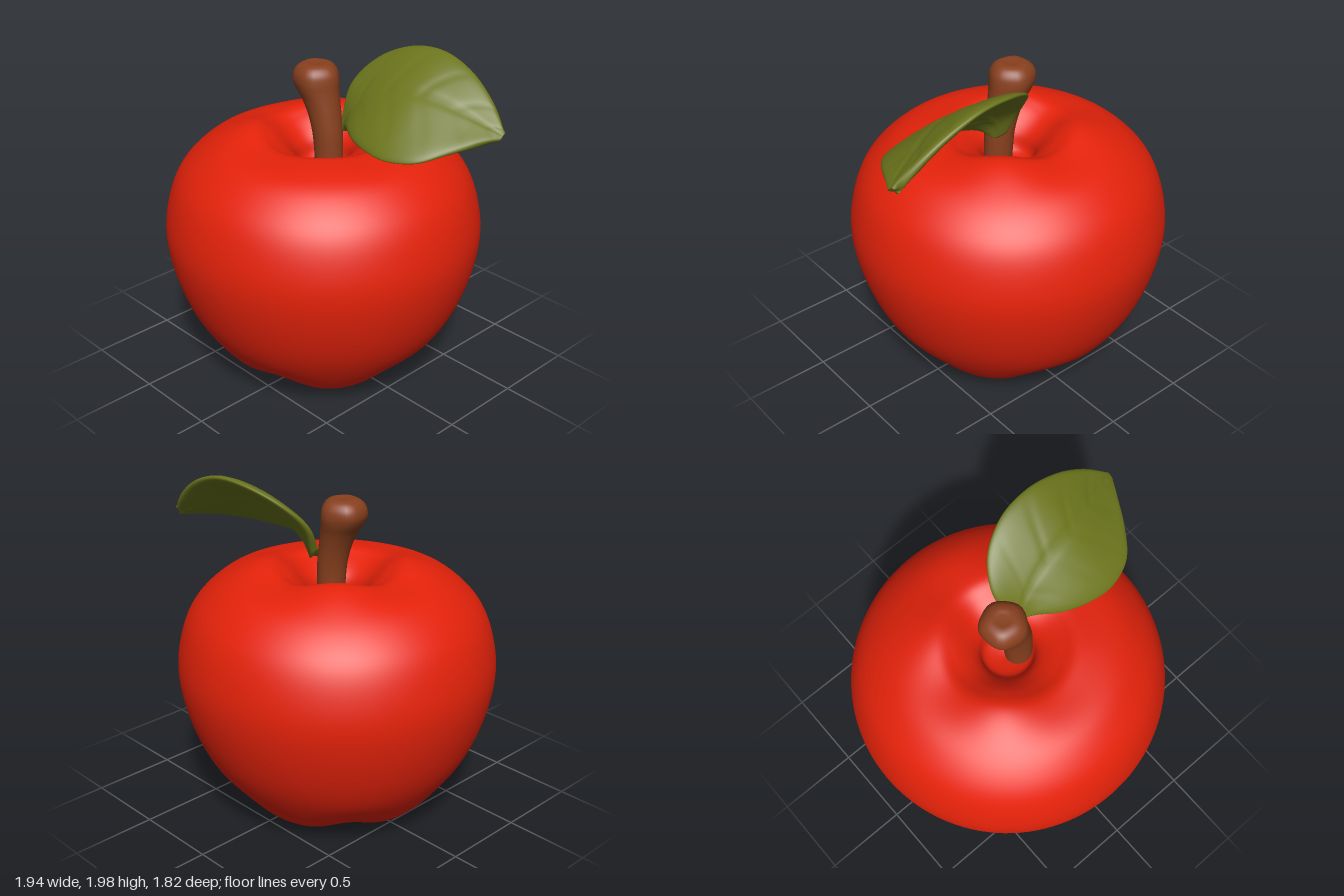
import * as THREE from 'three';

const V = (x, y, z) => new THREE.Vector3(x, y, z);
const smooth = THREE.MathUtils.smoothstep;

// Smooth skin over closed rings of points, with both ends capped.
// Rings run counter-clockwise when looking back along the direction of travel.
function loft(rings) {
  const n = rings[0].length;
  const pos = [], idx = [];
  rings.forEach(r => r.forEach(p => pos.push(p.x, p.y, p.z)));
  for (let i = 0; i < rings.length - 1; i++) {
    for (let j = 0; j < n; j++) {
      const k = (j + 1) % n;
      const a = i * n + j, b = i * n + k, c = a + n, d = b + n;
      idx.push(a, b, c, b, d, c);
    }
  }
  [0, rings.length - 1].forEach((ri, end) => {
    const centre = V(0, 0, 0);
    rings[ri].forEach(p => centre.addScaledVector(p, 1 / n));
    const ci = pos.length / 3;
    pos.push(centre.x, centre.y, centre.z);
    for (let j = 0; j < n; j++) {
      const a = ri * n + j, b = ri * n + (j + 1) % n;
      if (end) idx.push(a, b, ci);
      else idx.push(b, a, ci);
    }
  });
  const g = new THREE.BufferGeometry();
  g.setAttribute('position', new THREE.Float32BufferAttribute(pos, 3));
  g.setIndex(idx);
  g.computeVertexNormals();
  return g;
}

// Fruit body: a turned profile with five lobes underneath and a wavy rim on top
function fruitGeometry() {
  const profile = new THREE.SplineCurve([
    [0.01, 0.1], [0.1, 0.09], [0.21, 0.05], [0.34, 0.012], [0.48, 0.06], [0.62, 0.18],
    [0.78, 0.41], [0.873, 0.64], [0.917, 0.87], [0.9, 1.06], [0.835, 1.24], [0.715, 1.375],
    [0.55, 1.478], [0.4, 1.526], [0.3, 1.495], [0.22, 1.43], [0.165, 1.36], [0.125, 1.27], [0.01, 1.24],
  ].map(p => new THREE.Vector2(...p)));
  const rings = [];
  const rows = 100, sides = 120;
  for (let i = 0; i <= rows; i++) {
    const p = profile.getPoint(i / rows);
    const low = (1 - smooth(p.y, 0.03, 0.36)) * smooth(p.x, 0.05, 0.35);
    const rim = smooth(p.y, 1, 1.3) * smooth(p.x, 0.13, 0.32) * (1 - smooth(p.x, 0.4, 0.68));
    const ring = [];
    for (let j = 0; j < sides; j++) {
      const t = -j / sides * Math.PI * 2;
      const valley = Math.pow(0.5 + 0.5 * Math.cos(5 * t), 1.5);
      const wave = 0.5 + 0.5 * Math.cos(4 * t);
      const frontDip = Math.pow(Math.max(0, Math.cos(t - Math.PI / 4)), 6);
      const r = p.x * (1 - 0.05 * low * valley);
      const y = p.y + 0.03 * low * valley - rim * (0.045 * wave + 0.045 * frontDip);
      ring.push(V(r * Math.cos(t) - 0.05, y, r * Math.sin(t) * 0.993));
    }
    rings.push(ring);
  }
  return loft(rings);
}

// Stem: leaning, swelling into a rounded knob with a small flat top
function stemGeometry() {
  const stations = [ // y, centre x, radius
    [1.2, 0.02, 0.08], [1.4, 0.01, 0.083], [1.5, 0.002, 0.087], [1.6, -0.02, 0.094],
    [1.69, -0.05, 0.108], [1.75, -0.075, 0.124], [1.795, -0.086, 0.131],
    [1.84, -0.088, 0.123], [1.875, -0.088, 0.095], [1.888, -0.088, 0.06], [1.885, -0.088, 0.025],
  ];
  const axis = new THREE.CatmullRomCurve3(stations.map(s => V(s[1], s[0], s[2])));
  const rings = [];
  for (let i = 0; i <= 40; i++) {
    const p = axis.getPoint(i / 40);
    const knob = smooth(p.y, 1.6, 1.8);
    const ring = [];
    for (let j = 0; j < 28; j++) {
      const t = -j / 28 * Math.PI * 2;
      const r = p.z * (1 + knob * 0.03 * Math.cos(5 * t + 0.6));
      ring.push(V(p.x + r * Math.cos(t), p.y, 0.014 + r * Math.sin(t) * 0.98));
    }
    rings.push(ring);
  }
  return loft(rings);
}

// Leaf: three rails (back edge, midrib, front edge) with a bowed, veined skin
function leafGeometry() {
  const rail = pts => new THREE.CatmullRomCurve3(pts.map(p => V(...p)));
  const back = rail([[0.03, 1.57, -0.09], [0, 1.74, -0.18], [0.08, 1.88, -0.31],
    [0.25, 1.965, -0.4], [0.45, 1.98, -0.43], [0.65, 1.92, -0.425],
    [0.82, 1.815, -0.395], [0.92, 1.72, -0.362], [0.95, 1.672, -0.342]]);
  const mid = rail([[0.07, 1.53, -0.06], [0.12, 1.64, -0.08], [0.23, 1.74, -0.11],
    [0.38, 1.8, -0.14], [0.53, 1.81, -0.17], [0.68, 1.78, -0.22],
    [0.82, 1.725, -0.27], [0.92, 1.68, -0.305], [0.957, 1.658, -0.325]]);
  const front = rail([[0.1, 1.52, -0.04], [0.15, 1.56, 0.01], [0.27, 1.558, 0.09],
    [0.42, 1.55, 0.14], [0.57, 1.546, 0.15], [0.73, 1.565, 0.09],
    [0.84, 1.61, -0.05], [0.915, 1.637, -0.2], [0.953, 1.645, -0.3]]);
  const surface = (t, u) => { // u runs from -1 (back edge) to 1 (front edge)
    const p = V(0, 0, 0);
    p.addScaledVector(back.getPoint(t), u * (u - 1) / 2);
    p.addScaledVector(mid.getPoint(t), 1 - u * u);
    return p.addScaledVector(front.getPoint(t), u * (u + 1) / 2);
  };
  const rows = 72, cols = 32, e = 0.004;
  const rings = [];
  for (let i = 0; i <= rows; i++) {
    const t = i / rows;
    const tc = THREE.MathUtils.clamp(t, e, 1 - e);
    const ring = [];
    for (let j = 0; j < cols * 2; j++) {
      const top = j < cols;
      const u = -Math.cos(j / cols * Math.PI);
      const along = surface(tc + e, u).sub(surface(tc - e, u));
      const across = surface(tc, u + e).sub(surface(tc, u - e));
      const normal = across.cross(along).normalize();
      const half = 0.026 * Math.sqrt(Math.max(0, 1 - u ** 6));
      // Grooves of the midrib and the slanting side veins
      const fade = Math.sin(Math.PI * t);
      const rib = Math.exp(-((u / 0.07) ** 2));
      const side = Math.pow(0.5 + 0.5 * Math.cos((t - 0.16 * Math.abs(u)) * 38), 8) * (1 - u * u);
      const vein = -fade * (0.01 * rib + 0.004 * side);
      ring.push(surface(t, u).addScaledVector(normal, vein + (top ? half : -half)));
    }
    rings.push(ring);
  }
  return loft(rings);
}

export function createModel() {
  const material = (name, color) => {
    const m = new THREE.MeshStandardMaterial({ color });
    m.name = name;
    return m;
  };
  const group = new THREE.Group();
  group.name = 'apple';
  const add = (name, geometry, mat) => {
    const mesh = new THREE.Mesh(geometry, mat);
    mesh.name = name;
    group.add(mesh);
  };
  add('fruit', fruitGeometry(), material('red skin', 0xe4220a));
  add('stem', stemGeometry(), material('brown bark', 0x88401e));
  add('leaf', leafGeometry(), material('olive green', 0x6c751c));
  return group;
}
